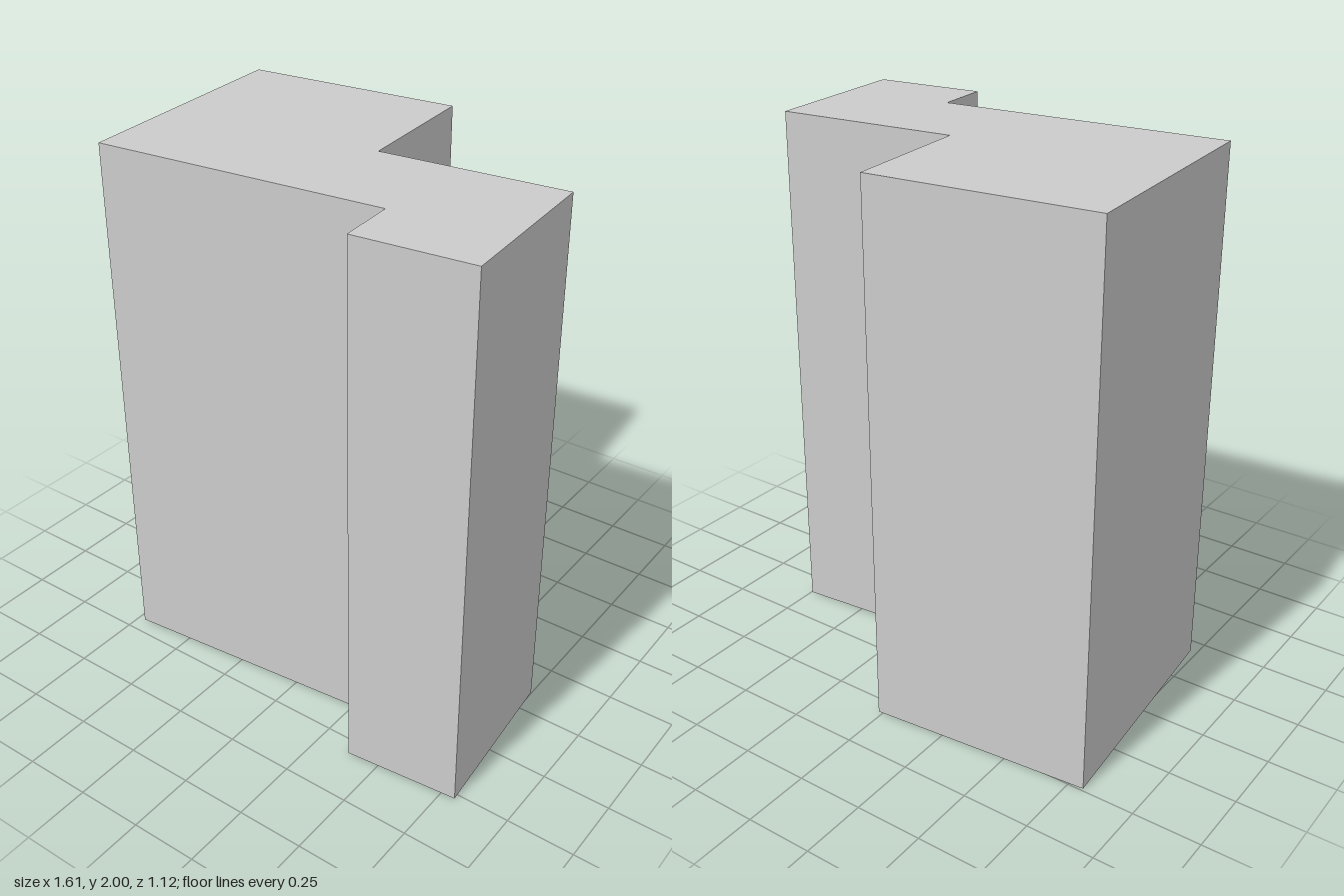
import * as THREE from 'three';

const HEIGHT = 2;

// Footprint corners as [x, z], clockwise seen from above
const FOOTPRINT = [
  [-0.804, -0.490], [0.018, -0.562], [0.067, -0.039], [0.747, -0.099],
  [0.802, 0.521], [0.379, 0.559], [0.361, 0.343], [-0.723, 0.438],
];

export function createModel() {
  const building = new THREE.Group();
  building.name = 'building';
  const material = new THREE.MeshStandardMaterial({
    color: 0xcccccc, flatShading: true, side: THREE.DoubleSide,
  });

  // Flat roof over the whole footprint
  const outline = new THREE.Shape(FOOTPRINT.map(([x, z]) => new THREE.Vector2(x, -z)));
  const roof = new THREE.Mesh(new THREE.ShapeGeometry(outline).rotateX(-Math.PI / 2), material);
  roof.position.y = HEIGHT;
  roof.name = 'roof';
  building.add(roof);

  // One upright wall per footprint edge, facing outwards; the underside stays open
  const walls = new THREE.Group();
  walls.name = 'walls';
  FOOTPRINT.forEach(([x0, z0], i) => {
    const [x1, z1] = FOOTPRINT[(i + 1) % FOOTPRINT.length];
    const dx = x1 - x0, dz = z1 - z0;
    const wall = new THREE.Mesh(new THREE.PlaneGeometry(Math.hypot(dx, dz), HEIGHT), material);
    wall.position.set((x0 + x1) / 2, HEIGHT / 2, (z0 + z1) / 2);
    wall.rotation.y = Math.atan2(dz, -dx);
    wall.name = `wall${i + 1}`;
    walls.add(wall);
  });
  building.add(walls);

  return building;
}
